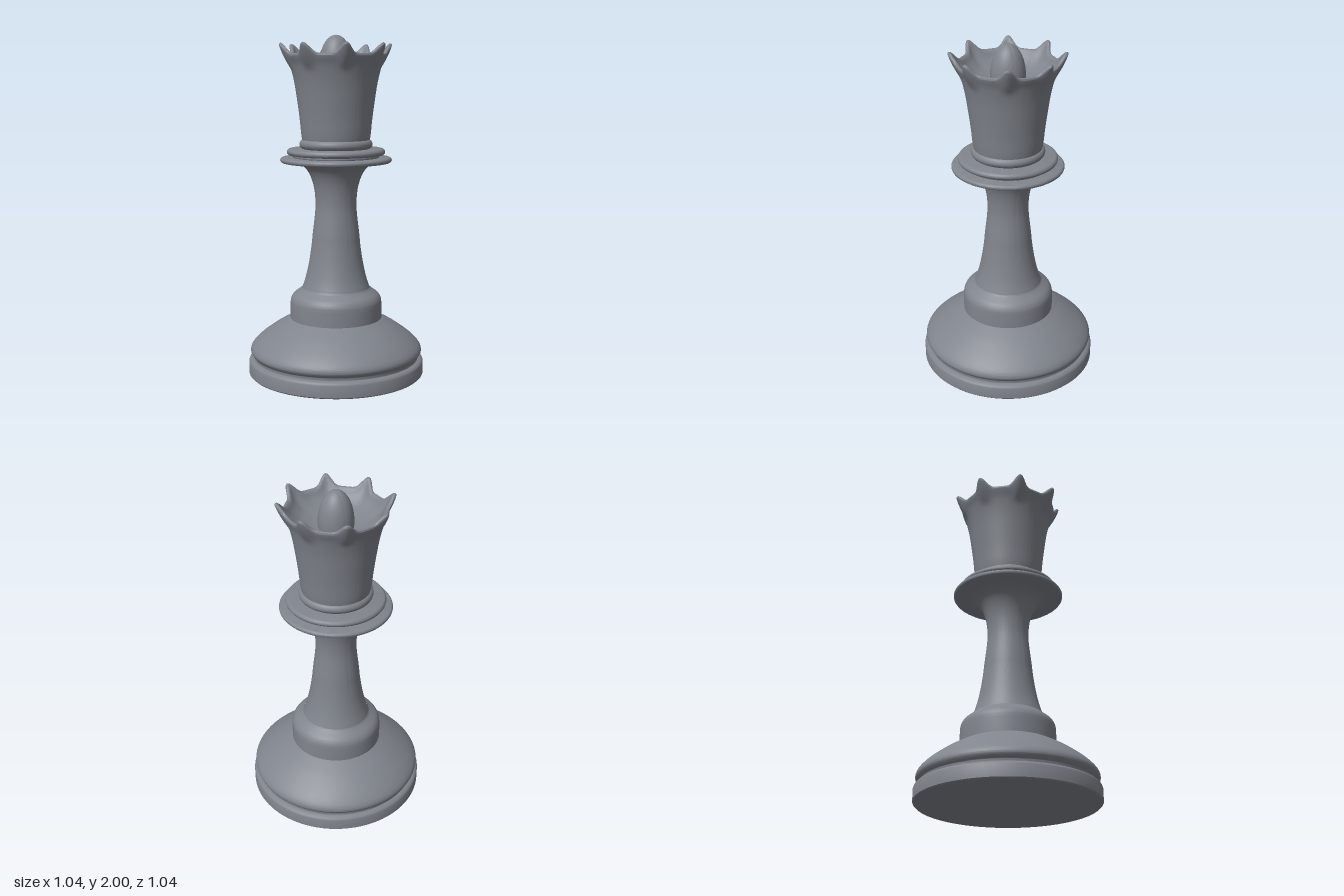
import * as THREE from 'three';
import { toCreasedNormals } from 'three/addons/utils/BufferGeometryUtils.js';

const vecs = (pts) => pts.map(([r, y]) => new THREE.Vector2(r, y));
const smooth = (pts, n) => new THREE.SplineCurve(vecs(pts)).getPoints(n)
  .map((p) => new THREE.Vector2(Math.max(p.x, 0), p.y));

export function createModel() {
  const group = new THREE.Group();
  const slate = new THREE.MeshStandardMaterial({ color: 0x80848c });
  slate.name = 'slate grey';

  const add = (name, geometry) => {
    const mesh = new THREE.Mesh(geometry, slate);
    mesh.name = name;
    group.add(mesh);
  };
  const turned = (name, points) =>
    add(name, toCreasedNormals(new THREE.LatheGeometry(points, 96), 0.7));

  // Rounded disc between two heights
  const disc = (name, r, y0, y1) => {
    const h = (y1 - y0) / 2;
    const edge = Array.from({ length: 9 }, (_, i) => {
      const a = -Math.PI / 2 + (i / 8) * Math.PI;
      return [r - h + h * Math.cos(a), y0 + h + h * Math.sin(a)];
    });
    turned(name, vecs([[0, y0], ...edge, [0, y1]]));
  };

  // Foot: plinth with softened edges, then the swelling shoulder
  turned('plinth', vecs([[0, 0], [0.515, 0], [0.522, 0.007], [0.522, 0.075],
    [0.518, 0.085], [0.508, 0.092], [0.49, 0.096], [0, 0.096]]));
  turned('footSwell', smooth([[0.492, 0.09], [0.491, 0.11], [0.504, 0.125], [0.511, 0.145],
    [0.498, 0.175], [0.45, 0.222], [0.37, 0.28], [0.31, 0.315], [0.272, 0.335]], 40));
  turned('footCollar', [...vecs([[0.272, 0.33]]), ...smooth([[0.272, 0.42], [0.268, 0.45],
    [0.252, 0.477], [0.222, 0.5], [0.203, 0.515], [0.197, 0.53]], 24)]);

  // Waisted stem flaring into the collar
  turned('stem', smooth([[0.203, 0.51], [0.18, 0.58], [0.16, 0.67], [0.145, 0.77], [0.138, 0.84],
    [0.125, 0.95], [0.121, 1.02], [0.127, 1.1], [0.145, 1.17], [0.175, 1.225],
    [0.215, 1.255], [0.26, 1.27]], 50));

  // Stacked collar rings
  disc('lowerCollar', 0.327, 1.264, 1.294);
  disc('collarGroove', 0.255, 1.285, 1.32);
  disc('upperCollar', 0.288, 1.308, 1.345);
  disc('crownRing', 0.214, 1.342, 1.4);

  // Crown cup: outer wall, rim and inner bowl, with eight points pulled from the rim
  const outer = smooth([[0.195, 1.38], [0.203, 1.43], [0.212, 1.52], [0.225, 1.62], [0.242, 1.73],
    [0.264, 1.82], [0.283, 1.868], [0.287, 1.886], [0.277, 1.893], [0.262, 1.882],
    [0.24, 1.85], [0.2, 1.817], [0.15, 1.796], [0.11, 1.787], [0.06, 1.785]], 70);
  const crown = new THREE.LatheGeometry(outer, 192);
  const pos = crown.attributes.position;
  const step = Math.PI / 4;
  for (let i = 0; i < pos.count; i++) {
    const x = pos.getX(i), y = pos.getY(i), z = pos.getZ(i);
    const r = Math.hypot(x, z);
    const a = Math.atan2(z, x) + 2 * Math.PI;
    const d = (a % step) - step / 2;
    const w = Math.exp(-((d / 0.13) ** 2));
    const lift = THREE.MathUtils.smoothstep(y, 1.79, 1.89);
    const k = (r + 0.044 * w * lift) / r;
    pos.setXYZ(i, x * k, y + 0.06 * w * lift * lift, z * k);
  }
  add('crown', toCreasedNormals(crown, 1.2));

  // Egg-shaped finial inside the cup
  const egg = Array.from({ length: 25 }, (_, i) => {
    const a = -0.25 + (i / 24) * (Math.PI / 2 + 0.25);
    return [i === 24 ? 0 : 0.1 * Math.cos(a), 1.815 + 0.185 * Math.sin(a)];
  });
  turned('finial', vecs(egg));

  return group;
}
